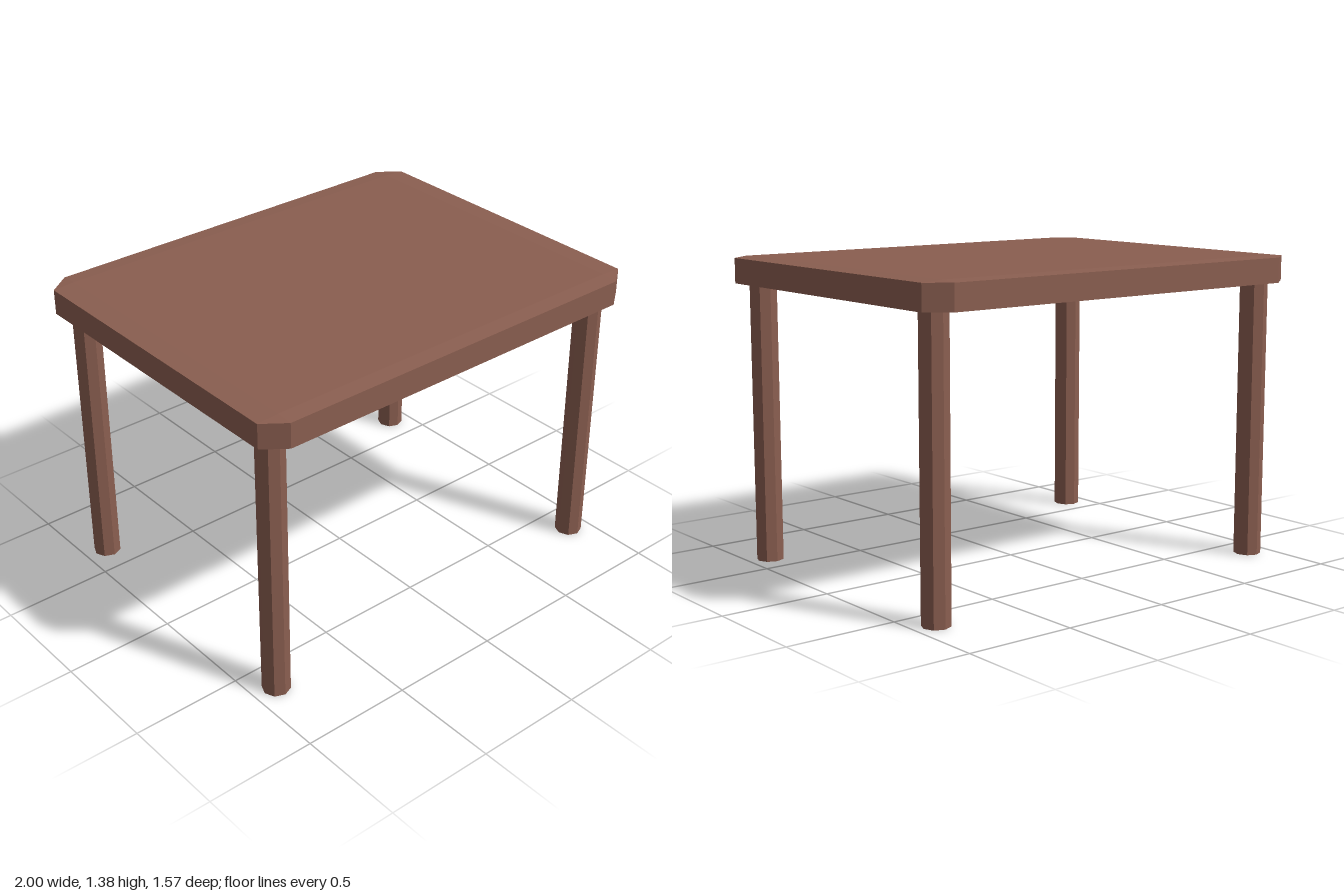
import * as THREE from 'three';
import { ConvexGeometry } from 'three/addons/geometries/ConvexGeometry.js';

export function createModel() {
  const table = new THREE.Group();
  table.name = 'table';
  const wood = new THREE.MeshStandardMaterial({ color: 0x8a5e50, flatShading: true });

  // Slab with clipped corners; both faces fall away slightly toward the rim
  const halfX = 1, halfZ = 0.785, flatX = 0.9, flatZ = 0.71;
  const bottom = 1.26, top = 1.385, drop = 0.006;
  const points = [];
  for (const sx of [-1, 1]) {
    for (const sz of [-1, 1]) {
      for (const [y, rimY] of [[bottom, bottom + drop], [top, top - drop]]) {
        points.push(
          new THREE.Vector3(sx * flatX, y, sz * flatZ),
          new THREE.Vector3(sx * halfX, rimY, sz * flatZ),
          new THREE.Vector3(sx * flatX, rimY, sz * halfZ)
        );
      }
    }
  }
  const tabletop = new THREE.Mesh(new ConvexGeometry(points), wood);
  tabletop.name = 'tabletop';
  table.add(tabletop);

  // Four eight-sided legs, one under each corner
  const legGeometry = new THREE.CylinderGeometry(0.062, 0.062, bottom, 8);
  for (const [zName, z] of [['front', 0.642], ['back', -0.647]]) {
    for (const [xName, x] of [['Left', 0.898], ['Right', -0.891]]) {
      const leg = new THREE.Mesh(legGeometry, wood);
      leg.name = `${zName}${xName}Leg`;
      leg.position.set(x, bottom / 2, z);
      table.add(leg);
    }
  }
  return table;
}
